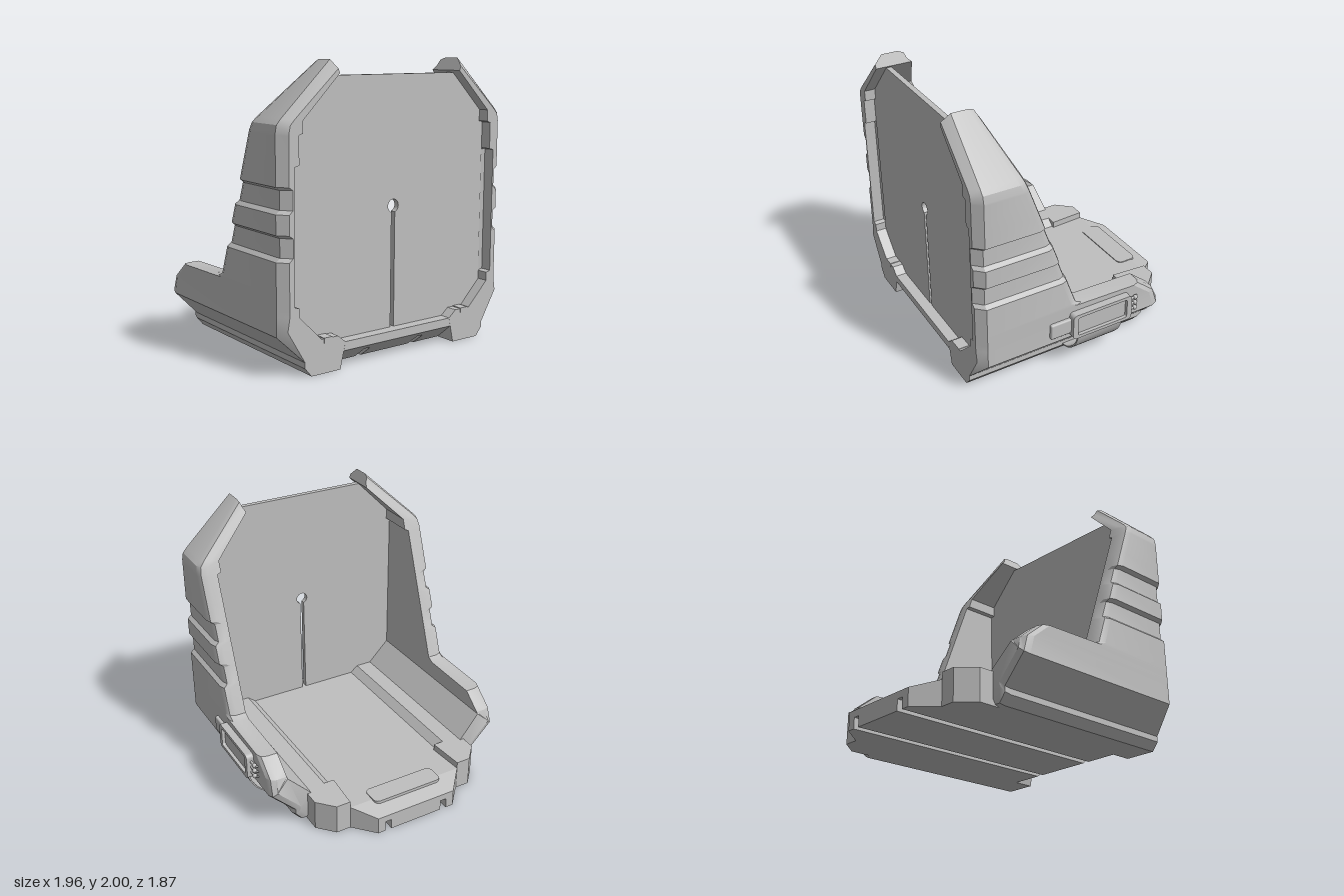
import * as THREE from 'three';
import { toCreasedNormals } from 'three/addons/utils/BufferGeometryUtils.js';
import { RoundedBoxGeometry } from 'three/addons/geometries/RoundedBoxGeometry.js';

const grey = new THREE.MeshStandardMaterial({ color: 0xbfbfbf });
grey.name = 'light grey';

function add(parent, name, geometry, x = 0, y = 0, z = 0) {
  const mesh = new THREE.Mesh(geometry, grey);
  mesh.name = name;
  mesh.position.set(x, y, z);
  parent.add(mesh);
  return mesh;
}

const polygon = (points) => new THREE.Shape(points.map(([x, y]) => new THREE.Vector2(x, y)));
const mirrored = (half) => [...half, ...half.map(([x, y]) => [-x, y]).reverse()];

function extrude(shape, z0, z1) {
  const geo = new THREE.ExtrudeGeometry(shape, { depth: z1 - z0, bevelEnabled: false, curveSegments: 10 });
  return geo.translate(0, 0, z0);
}

function moveVertices(geo, rule) {
  const p = geo.attributes.position;
  const v = new THREE.Vector3();
  for (let i = 0; i < p.count; i++) {
    rule(v.fromBufferAttribute(p, i));
    p.setXYZ(i, v.x, v.y, v.z);
  }
  geo.computeVertexNormals();
  return geo;
}

function roundedRect(w, h, r) {
  const s = new THREE.Shape(), a = w / 2, b = h / 2;
  s.absarc(a - r, b - r, r, 0, Math.PI / 2);
  s.absarc(-a + r, b - r, r, Math.PI / 2, Math.PI);
  s.absarc(-a + r, -b + r, r, Math.PI, Math.PI * 1.5);
  s.absarc(a - r, -b + r, r, Math.PI * 1.5, Math.PI * 2);
  return s;
}

// Side profile: how far back the wall reaches at each height
const profile = [[0, -0.55], [0.38, -0.55], [0.525, -0.37], [0.535, 0.11], [0.56, 0.16], [2, 0.69]];
function backEdge(y) {
  for (let i = 1; i < profile.length; i++) {
    const [y0, z0] = profile[i - 1], [y1, z1] = profile[i];
    if (y <= y1) return z0 + (z1 - z0) * (y - y0) / (y1 - y0);
  }
  return 0.69;
}

// Wall stations from the top tip to the foot: outer x, y, inner x, y, front bevel, slot depth
const straight = (y, dent = 0, slot = 0) => [0.955 - dent, y, 0.82, y, 0.06, slot];
const stations = [
  [0.545, 2, 0.51, 1.915, 0.06, 0],
  [0.915, 1.645, 0.79, 1.635, 0.06, 0],
  [0.945, 1.61, 0.79, 1.6, 0.06, 0],
  [0.955, 1.56, 0.79, 1.555, 0.06, 0],
  straight(1.545), straight(1.36),
  straight(1.35, 0, 0.035), straight(1.23, 0, 0.035),
  straight(1.21, 0.028, 0.035), straight(1.085, 0.028, 0.035), straight(1.06, 0, 0.035),
  straight(0.93, 0, 0.035), straight(0.91, 0.028, 0.035), straight(0.785, 0.028, 0.035), straight(0.76, 0, 0.035),
  straight(0.56, 0, 0.035), straight(0.535, 0, 0.035), straight(0.525, 0, 0.035),
  straight(0.47, 0, 0.035), straight(0.46), straight(0.41),
  [0.955, 0.28, 0.82, 0.4, 0.06, 0],
  [0.78, 0.1, 0.65, 0.23, 0, 0],
  [0.78, 0.06, 0.645, 0.23, 0, 0],
  [0.73, 0, 0.52, 0.23, 0, 0],
  [0.5, 0, 0.46, 0.18, 0, 0],
];

function wallGeometry(side) {
  const pos = [], index = [], n = 9;
  for (const [ox, oy, ix, iy, bevel, slot] of stations) {
    const len = Math.hypot(ix - ox, iy - oy);
    const put = (d, z) => pos.push(side * (ox + (ix - ox) * d / len), oy + (iy - oy) * d / len, z);
    const zo = backEdge(oy);
    put(bevel, 0.93);
    put(0, 0.93 - bevel);
    put(0, zo + 0.06);
    put(0.017, zo + 0.017);
    put(0.06, zo);
    put(len, backEdge(iy));
    put(len, Math.max(0.84, backEdge(iy)));
    put(len - slot, 0.85);
    put(len - slot, 0.93);
  }
  const tri = (a, b, c) => (side > 0 ? index.push(a, b, c) : index.push(a, c, b));
  for (let i = 0; i < stations.length - 1; i++) {
    for (let j = 0; j < n; j++) {
      const a = i * n + j, b = i * n + (j + 1) % n;
      tri(a, a + n, b);
      tri(b, a + n, b + n);
    }
  }
  const last = (stations.length - 1) * n;
  for (let j = 1; j < n - 1; j++) {
    tri(0, j, j + 1);
    tri(last, last + j + 1, last + j);
  }
  const geo = new THREE.BufferGeometry();
  geo.setAttribute('position', new THREE.Float32BufferAttribute(pos, 3));
  geo.setIndex(index);
  return toCreasedNormals(geo, 0.5);
}

export function createModel() {
  const model = new THREE.Group();
  model.name = 'openShell';
  const body = new THREE.Group();
  body.name = 'body';
  body.position.x = -0.03;
  model.add(body);

  // Side walls, rear floor wings and front tabs
  for (const side of [1, -1]) {
    const name = side > 0 ? 'left' : 'right';
    add(body, name + 'Wall', wallGeometry(side));
    const wing = polygon([[0.44, 0.5], [0.68, 0.5], [0.68, 0.66], [0.57, 0.78], [0.46, 0.78]].map(([x, z]) => [side * x, z]));
    add(body, name + 'FloorWing', extrude(wing, 0, 0.23).rotateX(-Math.PI / 2));
    add(body, name + 'FrontTab', new THREE.BoxGeometry(0.065, 0.035, 0.08), side * 0.6, 0.218, 0.892);
  }

  // Front panel with keyhole slot
  const arc = [];
  for (let i = 0; i <= 24; i++) {
    const a = -Math.PI / 2 + 0.34 + (i / 24) * (Math.PI * 2 - 0.68);
    arc.push([0.045 * Math.cos(a), 1.02 + 0.045 * Math.sin(a)]);
  }
  const half = [[0.46, 0.18], [0.52, 0.23], [0.65, 0.23], [0.82, 0.4], [0.82, 1.55], [0.79, 1.55], [0.79, 1.635], [0.525, 1.9]];
  const panel = polygon([...mirrored(half), [-0.015, 0.18], ...arc.reverse(), [0.015, 0.18]]);
  add(body, 'frontPanel', extrude(panel, 0.81, 0.85));

  // Floor: grooved lower layer with sloped front, plain upper layer
  const groove = [[0.21, 0], [0.21, 0.08], [0.26, 0.08], [0.26, 0]];
  const lower = polygon(mirrored([...groove, [0.5, 0], [0.472, 0.12]]));
  add(body, 'floorUnderside', moveVertices(extrude(lower, -0.78, 0.93), (v) => {
    if (v.z > 0) v.z -= (0.12 - v.y) * 1.3;
  }));
  add(body, 'floorTop', extrude(polygon(mirrored([[0.472, 0.12], [0.46, 0.18]])), -0.78, 0.93));

  // Tapered rear tongue, continuing the grooves
  const tongue = polygon(mirrored([...groove, [0.46, 0], [0.46, 0.18]]));
  add(body, 'rearTongue', moveVertices(extrude(tongue, -0.935, -0.78), (v) => {
    if (v.z < -0.9) {
      if (Math.abs(v.x) > 0.3) v.x = Math.sign(v.x) * 0.32;
      if (v.y > 0.1) v.y = 0.13;
    }
  }));
  add(body, 'fingerPad', extrude(roundedRect(0.56, 0.16, 0.04), 0, 0.03).rotateX(-Math.PI / 2), 0, 0.157, -0.75);

  // Clip unit on the left wall
  const unit = new THREE.Group();
  unit.name = 'clipUnit';
  body.add(unit);
  const frame = roundedRect(0.49, 0.2, 0.03);
  frame.holes.push(roundedRect(0.41, 0.15, 0.015));
  add(unit, 'clipFrame', extrude(frame, 0.94, 1.01).rotateY(Math.PI / 2), 0, 0.39, -0.015);
  add(unit, 'clipPlate', new THREE.BoxGeometry(0.04, 0.18, 0.46), 0.965, 0.39, -0.015);
  add(unit, 'clipPlug', new RoundedBoxGeometry(0.05, 0.12, 0.17, 2, 0.012), 0.955, 0.39, 0.305);
  for (const y of [0.345, 0.39, 0.435]) {
    add(unit, 'pin', new THREE.CylinderGeometry(0.01, 0.01, 0.06, 10).rotateX(Math.PI / 2), 0.975, y, -0.28);
    add(unit, 'pinHead', new THREE.SphereGeometry(0.018, 12, 8), 0.975, y, -0.312);
    const wire = new THREE.CatmullRomCurve3([[0.975, y, -0.31], [0.965, y, -0.33], [0.945, y, -0.335]].map((p) => new THREE.Vector3(...p)));
    add(unit, 'pinWire', new THREE.TubeGeometry(wire, 8, 0.007, 6));
  }

  // Curved strap under the clip
  const strap = new THREE.Shape();
  strap.moveTo(0.985, 0.31);
  strap.bezierCurveTo(0.985, 0.2, 0.89, 0.07, 0.78, 0.065);
  strap.lineTo(0.78, 0.075);
  strap.bezierCurveTo(0.88, 0.08, 0.973, 0.2, 0.973, 0.31);
  add(unit, 'strap', toCreasedNormals(extrude(strap, -0.2, 0.17), 0.6));

  return model;
}
